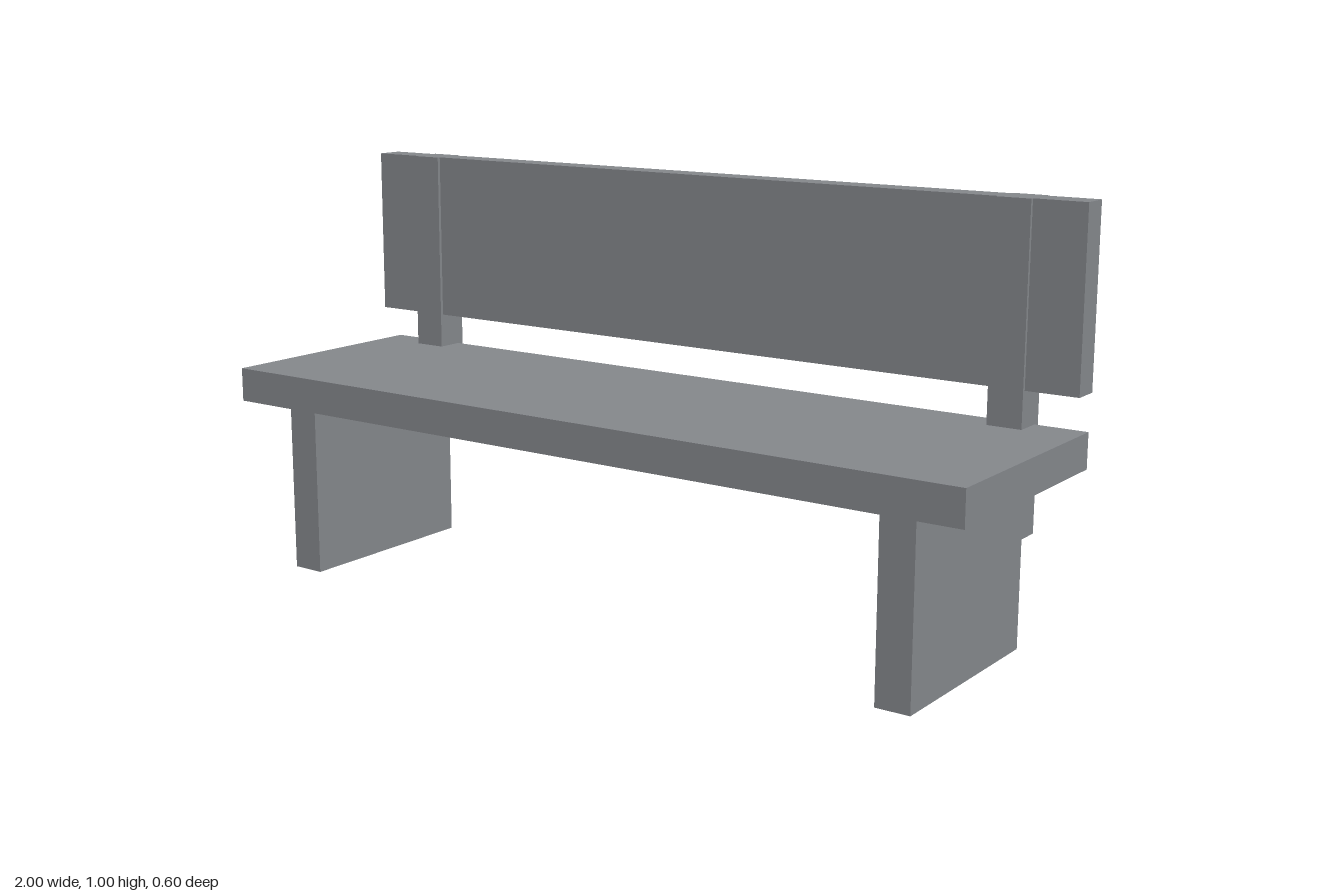
import * as THREE from 'three';

export function createModel() {
  const bench = new THREE.Group();
  bench.name = 'bench';
  const grey = new THREE.MeshStandardMaterial({ color: 0x85888c });
  grey.name = 'grey';

  // Box given by its lower and upper corners
  function board(name, [x0, y0, z0], [x1, y1, z1]) {
    const mesh = new THREE.Mesh(new THREE.BoxGeometry(x1 - x0, y1 - y0, z1 - z0), grey);
    mesh.position.set((x0 + x1) / 2, (y0 + y1) / 2, (z0 + z1) / 2);
    mesh.name = name;
    bench.add(mesh);
  }

  // Seat plank and backrest plank
  board('seat', [-1, 0.422, -0.282], [1, 0.505, 0.3]);
  board('backrest', [-1, 0.59, -0.291], [1, 1.005, -0.224]);

  // Slab leg and upright post on each side
  for (const [side, x] of [['left', 0.833], ['right', -0.833]]) {
    board(side + 'Leg', [x - 0.0415, 0, -0.241], [x + 0.0415, 0.422, 0.258]);
    board(side + 'Post', [x - 0.0415, 0.253, -0.3], [x + 0.0415, 1.005, -0.216]);
  }
  return bench;
}
